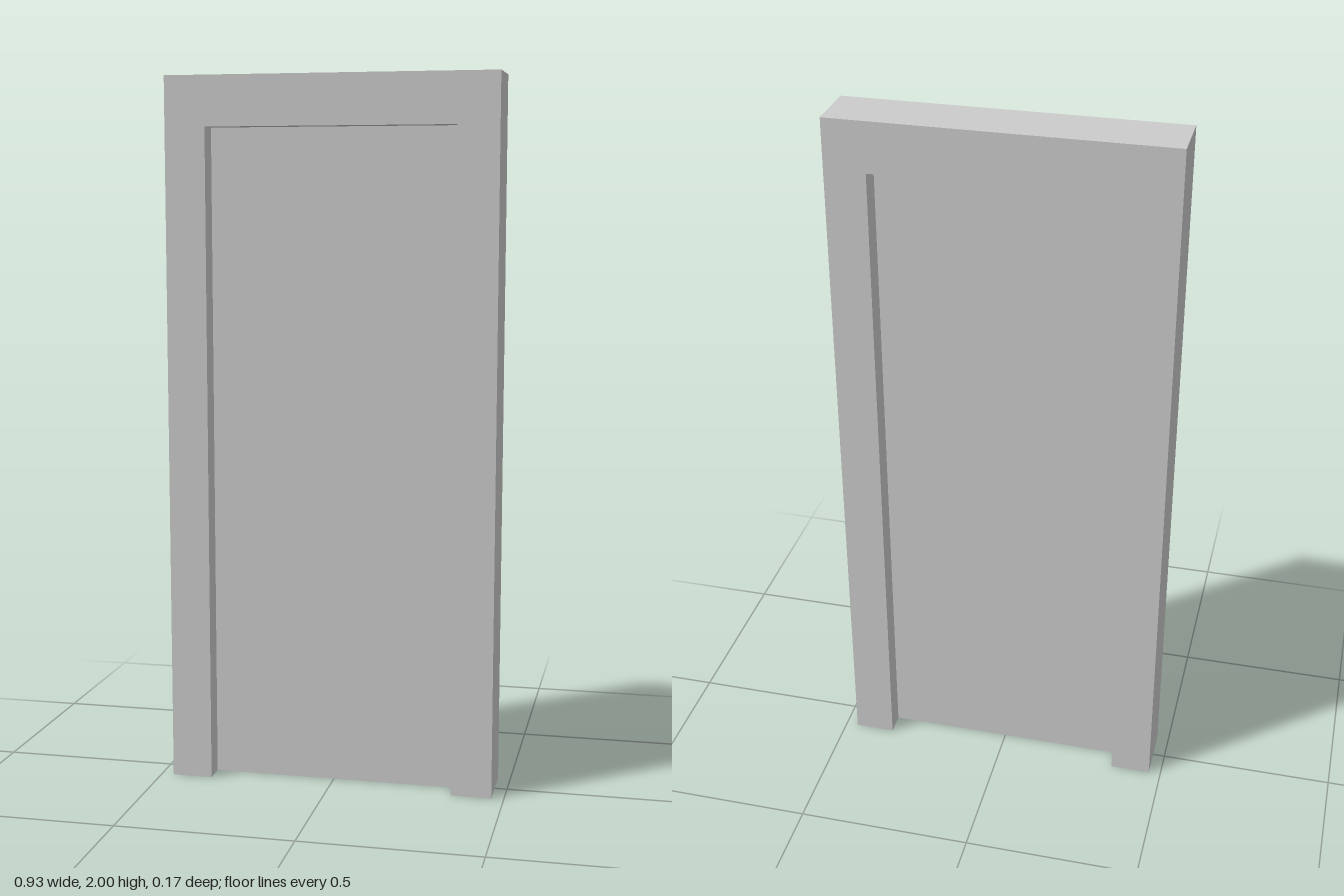
import * as THREE from 'three';

const W = 0.465, H = 2, D = 0.083;      // outer half width, height, half depth
const w = 0.35, h = 1.86, d = 0.02;     // opening half width, height, panel half depth

// The door is a hollow shell, open along the floor, so surfaces are two-sided.
const material = new THREE.MeshStandardMaterial({
  color: 0xcccccc, flatShading: true, side: THREE.DoubleSide,
});

function add(parent, name, geometry, position = [0, 0, 0], rotation = [0, 0, 0]) {
  const mesh = new THREE.Mesh(geometry, material);
  mesh.name = name;
  mesh.position.set(...position);
  mesh.rotation.set(...rotation);
  parent.add(mesh);
}

// One face of the door: frame front, recessed panel, and the reveal around it
function createSide(name) {
  const side = new THREE.Group();
  side.name = name;
  const outline = new THREE.Shape([
    [-W, 0], [-w, 0], [-w, h], [w, h], [w, 0], [W, 0], [W, H], [-W, H],
  ].map(([x, y]) => new THREE.Vector2(x, y)));
  add(side, 'frameFace', new THREE.ShapeGeometry(outline), [0, 0, D]);
  add(side, 'doorPanel', new THREE.PlaneGeometry(2 * w, h), [0, h / 2, d]);

  const depth = D - d, z = (D + d) / 2;
  for (const s of [-1, 1]) {
    add(side, s > 0 ? 'leftJamb' : 'rightJamb', new THREE.PlaneGeometry(depth, h),
      [s * w, h / 2, z], [0, -s * Math.PI / 2, 0]);
  }
  add(side, 'headReveal', new THREE.PlaneGeometry(2 * w, depth), [0, h, z], [Math.PI / 2, 0, 0]);
  return side;
}

export function createModel() {
  const door = new THREE.Group();
  door.name = 'framedDoor';

  const front = createSide('frontSide');
  const back = createSide('backSide');
  back.rotation.y = Math.PI;
  door.add(front, back);

  // Outer walls and top of the frame
  for (const s of [-1, 1]) {
    add(door, s > 0 ? 'leftOuterWall' : 'rightOuterWall', new THREE.PlaneGeometry(2 * D, H),
      [s * W, H / 2, 0], [0, s * Math.PI / 2, 0]);
  }
  add(door, 'frameTop', new THREE.PlaneGeometry(2 * W, 2 * D), [0, H, 0], [-Math.PI / 2, 0, 0]);
  return door;
}
